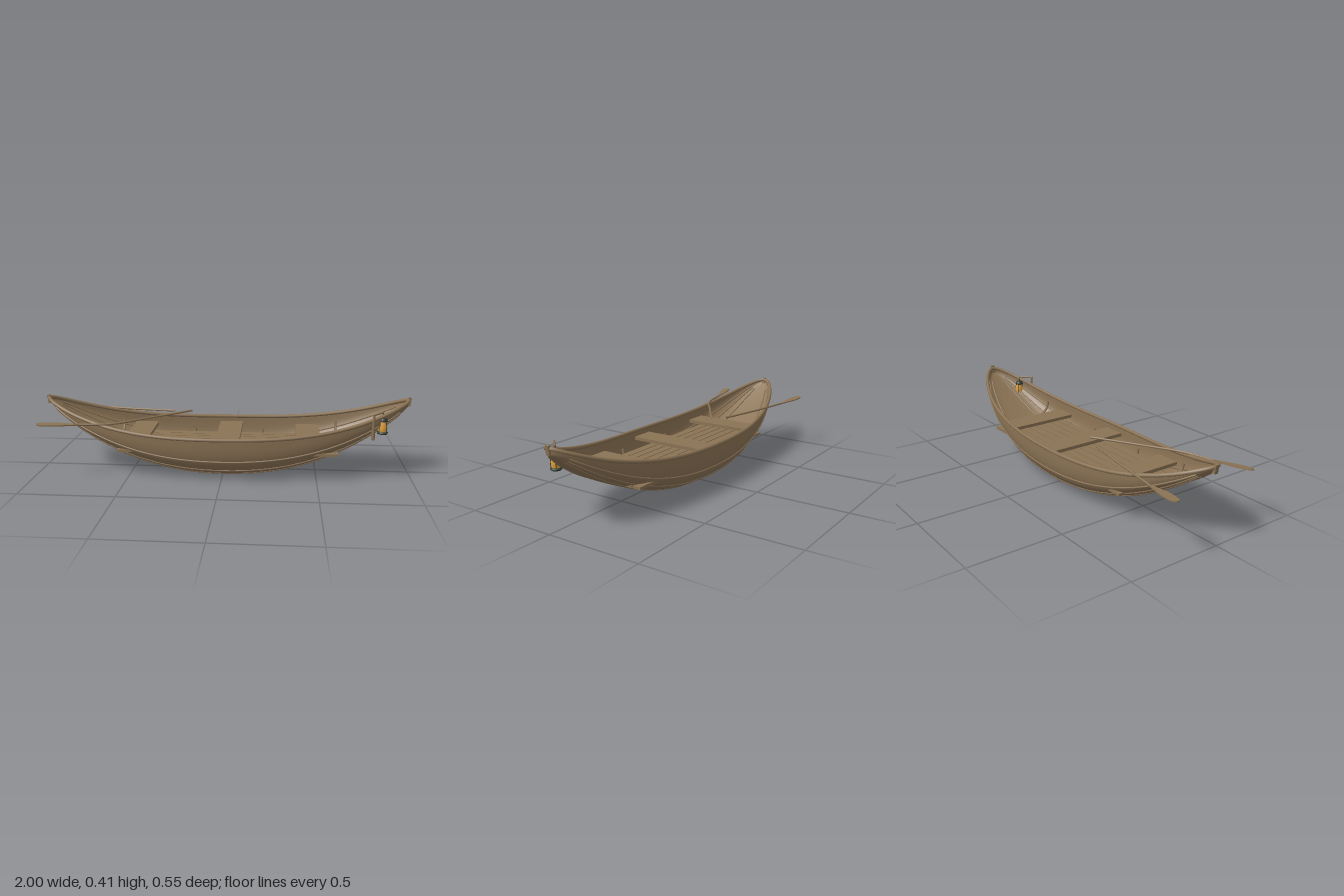
import * as THREE from 'three';
import { ParametricGeometry } from 'three/addons/geometries/ParametricGeometry.js';

const V = (x, y, z) => new THREE.Vector3(x, y, z);

// Hull surface: t runs stern to bow (-1..1), a runs across the section (0..PI)
function hullPoint(t, a, inset = 1, target = new THREE.Vector3()) {
  const k = Math.min(1, Math.abs(t)), n = 2 / 3;
  const width = 0.26 * Math.pow(1 - k * k, 0.6) * inset;
  const keel = 0.001 + 0.367 * Math.pow(k, 2.2);
  const sheer = 0.229 + 0.162 * Math.pow(k, 2.8) + 0.008 * t;
  const c = Math.cos(a), s = Math.max(0, Math.sin(a));
  const z = Math.sign(c) * Math.pow(Math.abs(c), n) * width;
  const y = sheer - (sheer - keel) * Math.pow(s, n) * inset;
  return target.set(0.006 + 0.98 * t, y, z - 0.01);
}

// Spaces stations closer together towards the pointed ends
const station = (u) => Math.sin((u - 0.5) * Math.PI);

export function createModel() {
  const boat = new THREE.Group();
  boat.name = 'rowingBoat';
  const wood = new THREE.MeshStandardMaterial({ color: 0x8b7355, side: THREE.DoubleSide });
  wood.name = 'wood';
  const metal = new THREE.MeshStandardMaterial({ color: 0x2f3a34 });
  metal.name = 'dark metal';
  const glow = new THREE.MeshStandardMaterial({ color: 0xe0a040 });
  glow.name = 'amber glass';

  const add = (name, geometry, material = wood, parent = boat) => {
    const mesh = new THREE.Mesh(geometry, material);
    mesh.name = name;
    parent.add(mesh);
    return mesh;
  };
  const box = (name, w, h, d, x, y, z) => {
    const mesh = add(name, new THREE.BoxGeometry(w, h, d));
    mesh.position.set(x, y, z);
    return mesh;
  };
  const tube = (name, points, radius, parent = boat, material = wood) =>
    add(name, new THREE.TubeGeometry(new THREE.CatmullRomCurve3(points), points.length * 3, radius, 8), material, parent);
  const rod = (name, a, b, r1, r2) => {
    const dir = b.clone().sub(a);
    const mesh = add(name, new THREE.CylinderGeometry(r2, r1, dir.length(), 8));
    mesh.position.copy(a).addScaledVector(dir, 0.5);
    mesh.quaternion.setFromUnitVectors(V(0, 1, 0), dir.normalize());
  };

  // Hull shell
  const hull = new ParametricGeometry((u, v, p) => hullPoint(station(u), v * Math.PI, 1, p), 64, 40);
  hull.computeVertexNormals();
  add('hull', hull);

  // Gunwales and the plank seams along each side
  const along = (a, end) =>
    Array.from({ length: 33 }, (_, i) => hullPoint(station(i / 32) * end, a));
  for (const side of [0, 1]) {
    const mirror = (a) => (side ? Math.PI - a : a);
    tube('gunwale', along(mirror(0), 1), 0.01);
    for (const rise of [0.06, 0.21, 0.46]) {
      const a = Math.asin(Math.pow(1 - rise, 1.5));
      tube('strake', along(mirror(a), 0.945), 0.005);
    }
  }

  // Stem posts closing both ends
  box('bowPost', 0.016, 0.046, 0.02, 0.988, 0.392, -0.01).rotation.z = -0.15;
  box('sternPost', 0.016, 0.046, 0.02, -0.974, 0.373, -0.01).rotation.z = 0.15;

  // Curved ribs inside
  for (const t of [-0.615, -0.2, 0.2, 0.625]) {
    const points = Array.from({ length: 17 }, (_, i) => hullPoint(t, 0.2 + (i / 16) * (Math.PI - 0.4), 0.95));
    tube('rib', points, 0.007);
  }

  // Floorboards
  for (let i = 0; i < 8; i++) {
    box('floorboard', 1.17, 0.014, 0.045, 0.025, 0.143, -0.01 + (i - 3.5) * 0.0505);
  }

  // Seats
  box('middleSeat', 0.13, 0.018, 0.48, 0.025, 0.195, -0.01);
  for (const x of [-0.465, 0.457]) box('endSeat', 0.13, 0.018, 0.405, x, 0.195, -0.01);

  // Oars: a shaft along a gentle curve and a leaf-shaped blade
  const oar = (points, tip, roll) => {
    const group = new THREE.Group();
    group.name = 'oar';
    boat.add(group);
    tube('oarShaft', points, 0.006, group);
    const root = points[points.length - 1];
    const dir = tip.clone().sub(root);
    const L = dir.length();
    const leaf = new THREE.Shape();
    leaf.moveTo(0.01, -0.006);
    leaf.bezierCurveTo(-L * 0.35, -0.012, -L * 0.4, -0.026, -L * 0.75, -0.023);
    leaf.quadraticCurveTo(-L, -0.02, -L, 0);
    leaf.quadraticCurveTo(-L, 0.02, -L * 0.75, 0.023);
    leaf.bezierCurveTo(-L * 0.4, 0.026, -L * 0.35, 0.012, 0.01, 0.006);
    const geo = new THREE.ExtrudeGeometry(leaf, { depth: 0.006, bevelEnabled: false, curveSegments: 8 });
    geo.translate(0, 0, -0.003).rotateX(Math.PI / 2 + roll);
    const blade = add('oarBlade', geo, wood, group);
    blade.position.copy(root);
    blade.quaternion.setFromUnitVectors(V(-1, 0, 0), dir.normalize());
  };
  oar([V(-0.29, 0.288, -0.135), V(-0.55, 0.284, -0.182), V(-0.8, 0.286, -0.228)], V(-1, 0.296, -0.256), 0);
  oar([V(-0.19, 0.3, -0.1), V(-0.4, 0.291, 0.045), V(-0.59, 0.283, 0.17), V(-0.76, 0.286, 0.208)], V(-0.965, 0.296, 0.257), 0.12);

  // Lantern bracket
  const top = V(0.785, 0.355, 0.158), hook = V(0.84, 0.356, 0.098);
  rod('lanternPost', V(0.785, 0.222, 0.15), top, 0.01, 0.006);
  rod('lanternArm', V(0.78, 0.355, 0.164), hook, 0.005, 0.005);

  // Hanging lantern
  const lantern = new THREE.Group();
  lantern.name = 'lantern';
  lantern.position.set(0.84, 0.242, 0.098);
  boat.add(lantern);
  const lathe = (name, profile, material) =>
    add(name, new THREE.LatheGeometry(profile.map(([r, y]) => new THREE.Vector2(r, y)), 16), material, lantern);
  lathe('lanternBase', [[0, 0], [0.025, 0], [0.028, 0.004], [0.028, 0.009], [0.022, 0.012], [0, 0.012]], metal);
  lathe('lanternGlass', [[0.021, 0.012], [0.024, 0.025], [0.023, 0.045], [0.019, 0.068]], glow);
  lathe('lanternCap', [[0, 0.068], [0.024, 0.068], [0.021, 0.08], [0.01, 0.089], [0, 0.091]], metal);
  tube('lanternHook', [V(0, 0.088, 0), V(0, 0.1, 0), V(0, 0.114, 0)], 0.002, lantern, metal);
  for (let i = 0; i < 4; i++) {
    const a = (i + 0.5) * Math.PI / 2, c = Math.cos(a), s = Math.sin(a);
    tube('lanternBar', [[0.023, 0.01], [0.025, 0.03], [0.024, 0.048], [0.02, 0.07]]
      .map(([r, y]) => V(r * c, y, r * s)), 0.0016, lantern, metal);
  }
  return boat;
}
